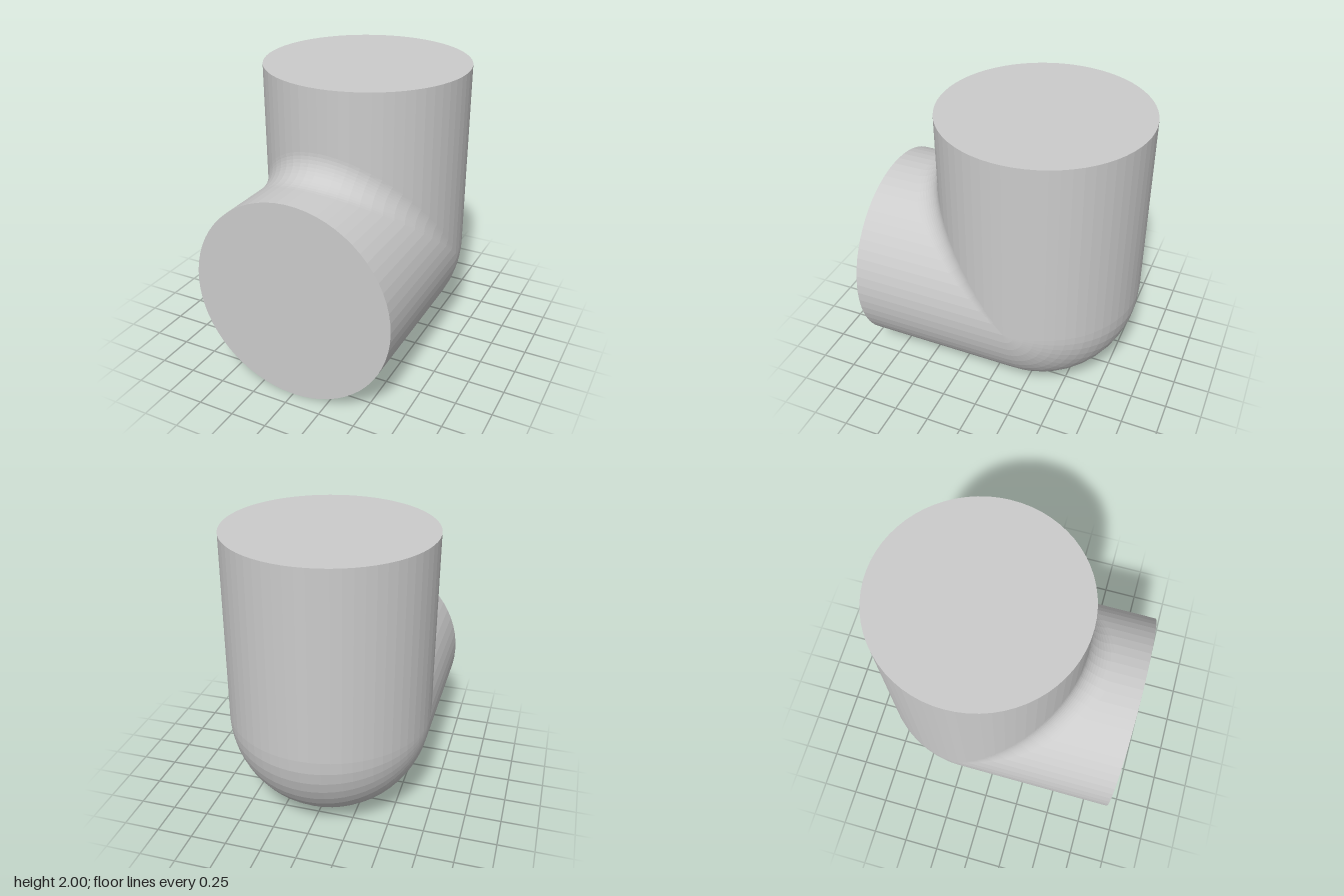
import * as THREE from 'three';

const R = 0.7;       // pipe radius
const FILLET = 0.18; // rolling-ball radius of the inner corner
const AXIS_Y = 0.7, AXIS_Z = -0.2; // where the two pipe axes meet
const END_Y = 1.3, END_Z = 1.1;    // leg lengths from that point
const SIDES = 64, STEPS = 12;

// One lengthwise line of the elbow: front leg, bend, upright leg.
function elbowLine(theta) {
  const c = Math.cos(theta);
  const s = Math.abs(Math.sin(theta)) < 1e-6 ? 0 : Math.sin(theta);
  const line = [new THREE.Vector3(R * c, R * s, END_Z)];
  const omega = Math.acos(Math.min(1, c * c));
  for (let k = 0; k <= STEPS; k++) {
    const t = k / STEPS;
    if (s <= 0) {
      // outer half: quarter sphere
      const a = t * Math.PI / 2;
      line.push(new THREE.Vector3(R * c, R * s * Math.cos(a), R * s * Math.sin(a)));
    } else {
      // inner half: fillet arc between the contact points of a rolling ball
      const q = R + FILLET;
      const wa = Math.sin((1 - t) * omega) / Math.sin(omega);
      const wb = Math.sin(t * omega) / Math.sin(omega);
      line.push(new THREE.Vector3(
        q * c - FILLET * c * (wa + wb),
        q * s - FILLET * s * wa,
        q * s - FILLET * s * wb));
    }
  }
  line.push(new THREE.Vector3(R * c, END_Y, R * s));
  return line;
}

function elbowGeometry() {
  const positions = [], index = [];
  const n = STEPS + 3;
  for (let i = 0; i <= SIDES; i++) {
    for (const p of elbowLine(i / SIDES * Math.PI * 2)) positions.push(p.x, p.y, p.z);
  }
  for (let i = 0; i < SIDES; i++) {
    for (let j = 0; j < n - 1; j++) {
      const a = i * n + j, b = a + n;
      index.push(a, a + 1, b, b, a + 1, b + 1);
    }
  }
  const g = new THREE.BufferGeometry();
  g.setAttribute('position', new THREE.Float32BufferAttribute(positions, 3));
  g.setIndex(index);
  g.computeVertexNormals();
  return g;
}

export function createModel() {
  const model = new THREE.Group();
  model.name = 'pipeElbow';
  const material = new THREE.MeshStandardMaterial({ color: 0xcccccc, flatShading: true });

  const add = (name, geometry, y, z) => {
    const mesh = new THREE.Mesh(geometry, material);
    mesh.name = name;
    mesh.position.set(0, y, z);
    model.add(mesh);
    return mesh;
  };

  // Curved wall of both legs, the rounded heel and the inner fillet
  add('elbowWall', elbowGeometry(), AXIS_Y, AXIS_Z);

  // Flat closed ends
  const disc = new THREE.CircleGeometry(R, SIDES);
  add('frontEnd', disc, AXIS_Y, AXIS_Z + END_Z);
  add('topEnd', disc, AXIS_Y + END_Y, AXIS_Z).rotation.x = -Math.PI / 2;

  return model;
}
